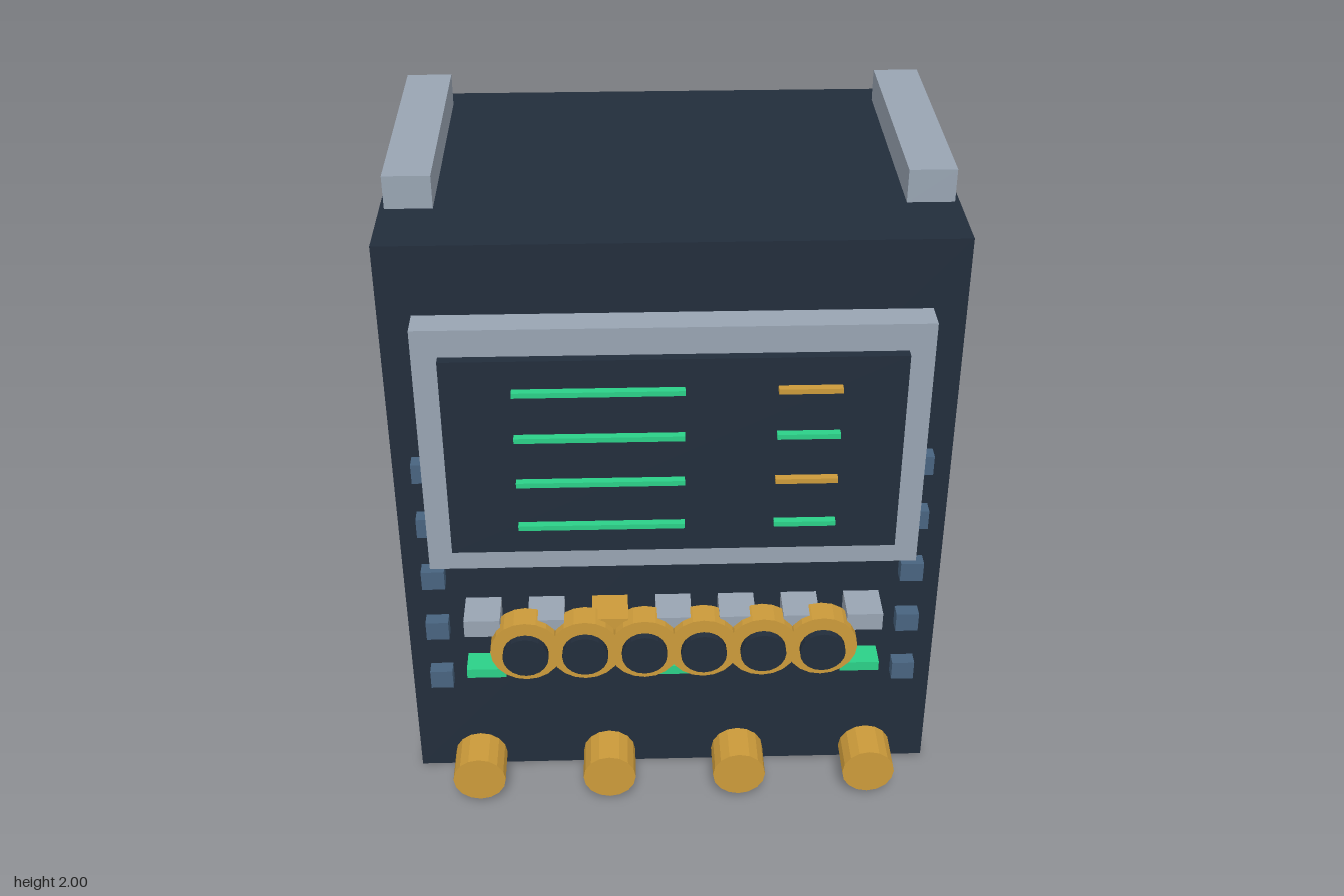
import * as THREE from 'three';

const mat = (name, color, flat) => {
  const m = new THREE.MeshStandardMaterial({ color, flatShading: !!flat });
  m.name = name;
  return m;
};

export function createModel() {
  const navy = mat('dark navy', 0x222d3b, true);
  const grey = mat('light grey', 0x98a4b2, true);
  const blue = mat('steel blue', 0x48637f, true);
  const green = mat('signal green', 0x2bd088, true);
  const gold = mat('gold', 0xcb9a3a, true);

  const model = new THREE.Group();
  model.name = 'instrumentCabinet';

  // Box given by its centre in x and y, its size, and its back and front z
  const box = (name, material, x, y, w, h, z0, z1) => {
    const mesh = new THREE.Mesh(new THREE.BoxGeometry(w, h, z1 - z0), material);
    mesh.position.set(x, y, (z0 + z1) / 2);
    mesh.name = name;
    model.add(mesh);
  };

  // Disc whose axis runs front to back
  const disc = (name, material, x, y, r, z0, z1, sides) => {
    const geometry = new THREE.CylinderGeometry(r, r, z1 - z0, sides).rotateX(Math.PI / 2);
    const mesh = new THREE.Mesh(geometry, material);
    mesh.position.set(x, y, (z0 + z1) / 2);
    mesh.name = name;
    model.add(mesh);
  };

  const cx = -0.004; // centre line of the cabinet

  // Cabinet and top rails
  box('cabinet', navy, cx, 0.95, 1.65, 1.9, -0.648, 0.456);
  for (const s of [-1, 1]) box('topRail', grey, cx + s * 0.742, 1.95, 0.138, 0.1, -0.555, 0.22);

  // Screen with its frame
  box('screenFrame', grey, cx, 1.278, 1.46, 0.815, 0.456, 0.545);
  box('screen', navy, cx, 1.276, 1.312, 0.65, 0.545, 0.574);

  // Readout lines
  [1.505, 1.355, 1.203, 1.052].forEach((y, i) => {
    box('longReadout', green, -0.216, y, 0.486, 0.016, 0.576, 0.599);
    box('shortReadout', i % 2 ? green : gold, 0.377, y, 0.18, 0.016, 0.576, 0.599);
  });

  // Side buttons, five on each side
  for (const s of [-1, 1])
    for (let i = 0; i < 5; i++)
      box('sideButton', blue, cx + s * 0.731, 0.398 + i * 0.196, 0.07, 0.065, 0.456, 0.5);

  // Key row with an indicator below each key
  for (let i = 0; i < 7; i++) {
    const x = cx + (i - 3) * 0.195;
    box('key', i === 2 ? gold : grey, x, 0.66, 0.11, 0.06, 0.456, 0.574);
    box('indicator', i % 3 ? navy : green, x, 0.451, 0.122, 0.033, 0.456, 0.536);
  }

  // Dials with dark caps
  for (let i = 0; i < 6; i++) {
    const x = cx + (i - 2.5) * 0.1815;
    disc('dial', gold, x, 0.589, 0.109, 0.523, 0.6, 20);
    disc('dialCap', navy, x, 0.589, 0.07, 0.607, 0.63, 20);
  }

  // Large knobs along the bottom
  for (let i = 0; i < 4; i++) disc('knob', gold, cx + (i - 1.5) * 0.4135, 0.107, 0.083, 0.523, 0.648, 16);

  return model;
}
